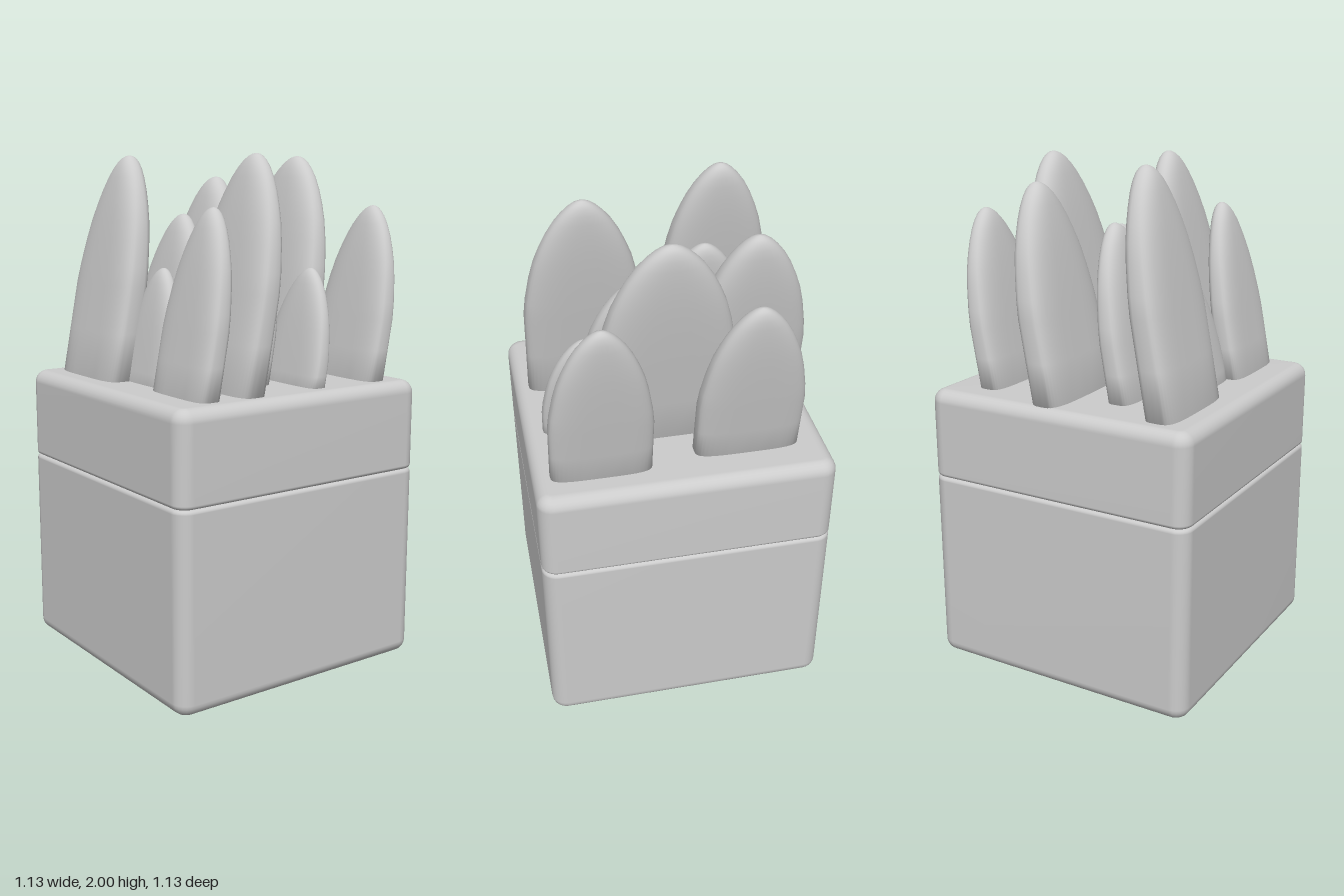
import * as THREE from 'three';

const RIM_TOP = 1.13, LEAN = 0.187;

// Skins a stack of closed rings (bottom to top, each an array of [x, y, z]) and caps both ends.
function loft(rings) {
  const n = rings[0].length, pos = rings.flat(2), index = [];
  for (let r = 0; r < rings.length - 1; r++) {
    for (let i = 0; i < n; i++) {
      const j = (i + 1) % n;
      const a = r * n + i, b = r * n + j, c = a + n, d = b + n;
      index.push(a, c, b, b, c, d);
    }
  }
  [0, rings.length - 1].forEach((r) => {
    const centre = pos.length / 3;
    for (let k = 0; k < 3; k++) pos.push(rings[r].reduce((s, p) => s + p[k], 0) / n);
    for (let i = 0; i < n; i++) {
      const a = r * n + i, b = r * n + (i + 1) % n;
      index.push(centre, r ? b : a, r ? a : b);
    }
  });
  const geo = new THREE.BufferGeometry();
  geo.setAttribute('position', new THREE.Float32BufferAttribute(pos, 3));
  geo.setIndex(index);
  geo.computeVertexNormals();
  return geo;
}

// Rounded square ring, pulled in by inset
function squareRing(y, inset) {
  const half = 0.565 - inset, rad = Math.max(0.06 - inset, 0.004), ring = [];
  for (let c = 0; c < 4; c++) {
    const mid = (c + 0.5) * Math.PI / 2;
    for (let i = 0; i <= 6; i++) {
      const a = (c + i / 6) * Math.PI / 2;
      ring.push([
        Math.sign(Math.cos(mid)) * (half - rad) + rad * Math.cos(a), y,
        Math.sign(Math.sin(mid)) * (half - rad) + rad * Math.sin(a),
      ]);
    }
  }
  return ring;
}

// Square block with separately rounded bottom and top edges
function block(y0, y1, r0, r1) {
  const rings = [], steps = 6;
  for (let i = 0; i <= steps; i++) {
    const a = i / steps * Math.PI / 2;
    rings.push(squareRing(y0 + r0 * (1 - Math.cos(a)), r0 * (1 - Math.sin(a))));
  }
  for (let i = 0; i <= steps; i++) {
    const a = i / steps * Math.PI / 2;
    rings.push(squareRing(y1 - r1 * (1 - Math.sin(a)), r1 * (1 - Math.cos(a))));
  }
  return loft(rings);
}

// Taper below the tip: distance, width, thickness (all as fractions)
const TAPER = [
  [1, 1, 1], [0.85, 0.965, 1], [0.65, 0.885, 0.98], [0.5, 0.8, 0.95], [0.38, 0.7, 0.91],
  [0.27, 0.59, 0.85], [0.17, 0.46, 0.77], [0.1, 0.34, 0.67], [0.05, 0.23, 0.53],
  [0.02, 0.14, 0.36], [0.005, 0.07, 0.18], [0, 0.01, 0.03],
];

// Backward-leaning leaf with a rounded slab section and a pointed tip
function leaf(x0, x1, zFront, thick, tip) {
  const cx = (x0 + x1) / 2, hw = (x1 - x0) / 2, ht = thick / 2;
  const reach = 0.2 + 0.35 * (tip - RIM_TOP);
  const ring = (y, w, t, power) => {
    const pts = [], cz = zFront - ht - LEAN * (y - RIM_TOP);
    for (let i = 0; i < 40; i++) {
      const a = i / 40 * Math.PI * 2, c = Math.cos(a), s = Math.sin(a);
      pts.push([
        cx + hw * w * Math.sign(c) * Math.abs(c) ** (2 / power), y,
        cz + ht * t * Math.sign(s) * Math.abs(s) ** (2 / power),
      ]);
    }
    return pts;
  };
  const rings = [ring(RIM_TOP - 0.05, 1, 1, 4), ring((RIM_TOP + tip - reach) / 2, 1, 1, 3.8)];
  TAPER.forEach(([d, w, t]) => rings.push(ring(tip - d * reach, w, t, 2.1 + 1.5 * d)));
  return loft(rings);
}

// xMin, xMax, front z at the soil line, thickness, tip height
const LEAVES = [
  [-0.495, -0.065, 0.47, 0.135, 2.0],
  [-0.16, 0.16, 0.385, 0.085, 1.57],
  [0.145, 0.495, 0.43, 0.105, 1.805],
  [-0.375, 0.02, 0.225, 0.11, 1.77],
  [0.05, 0.51, 0.255, 0.125, 2.0],
  [-0.11, 0.32, 0.075, 0.11, 1.72],
  [0.155, 0.49, -0.08, 0.085, 1.57],
  [-0.53, -0.095, 0.01, 0.135, 1.92],
  [-0.22, 0.295, -0.135, 0.13, 2.0],
  [-0.45, -0.05, -0.31, 0.11, 1.8],
  [0.12, 0.5, -0.355, 0.105, 1.805],
];

export function createModel() {
  const model = new THREE.Group();
  model.name = 'pottedPlant';
  const material = new THREE.MeshStandardMaterial({ color: 0xcccccc });
  const add = (parent, name, geo) => {
    const mesh = new THREE.Mesh(geo, material);
    mesh.name = name;
    parent.add(mesh);
  };

  // Planter: lower body and upper rim, meeting at a fine groove
  add(model, 'potBody', block(0, 0.775, 0.05, 0.016));
  add(model, 'potRim', block(0.775, RIM_TOP, 0.016, 0.05));

  // Leaves standing in the planter
  const leaves = new THREE.Group();
  leaves.name = 'leaves';
  LEAVES.forEach((args, i) => add(leaves, `leaf${i + 1}`, leaf(...args)));
  model.add(leaves);
  return model;
}
